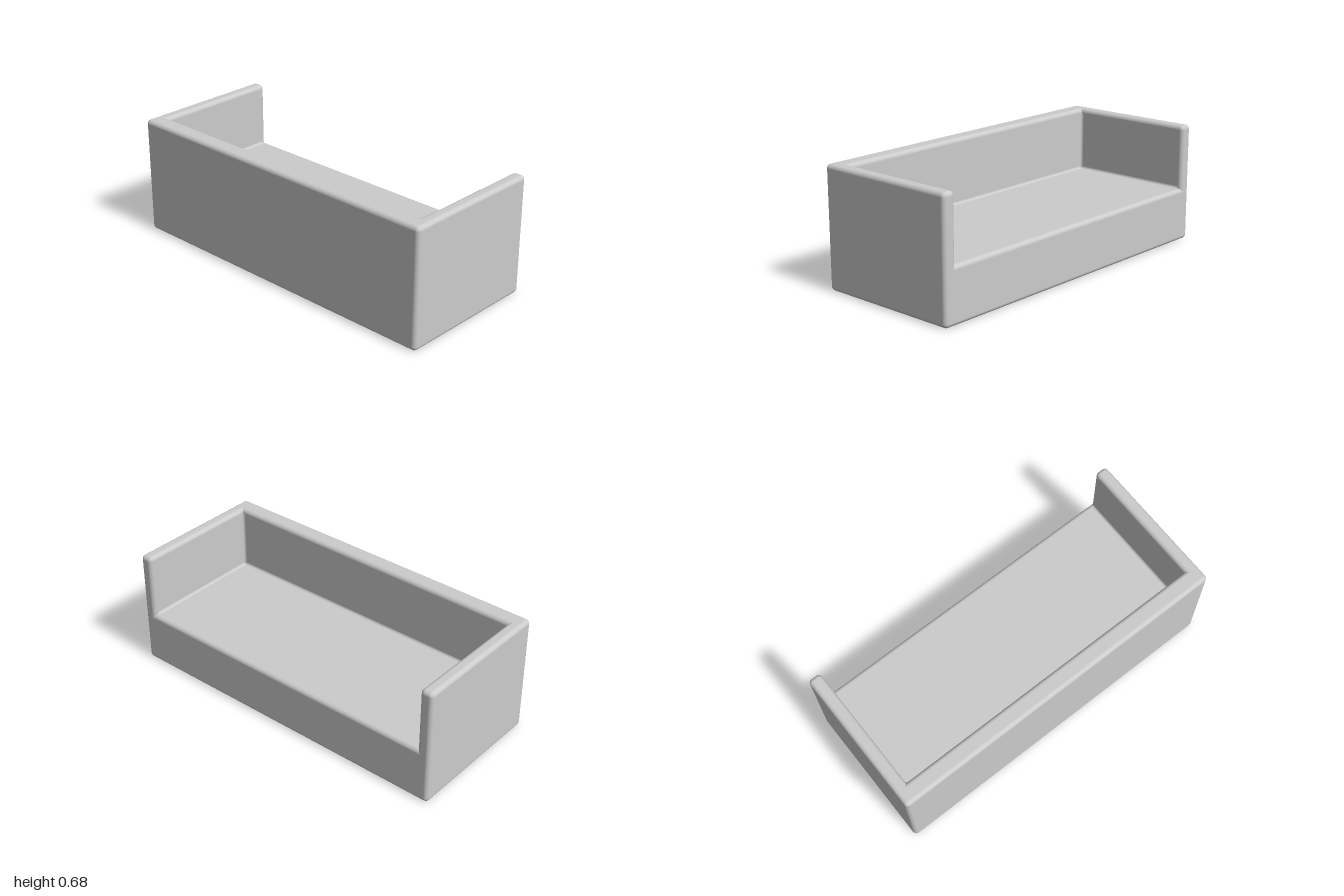
import * as THREE from 'three';
import { RoundedBoxGeometry } from 'three/addons/geometries/RoundedBoxGeometry.js';

const HALF_W = 0.425, HEIGHT = 0.68, HALF_L = 1;
const BACK_X = -0.32, ARM_Z = 0.925, SEAT_Y = 0.31; // inner faces
const EDGE = 0.024, FILLET = 0.015;

export function createModel() {
  const group = new THREE.Group();
  const material = new THREE.MeshStandardMaterial({ color: 0xcccccc });
  const filletMaterial = new THREE.MeshStandardMaterial({ color: 0xcccccc, side: THREE.DoubleSide });

  // Rounded block given by its two opposite corners
  function block(name, min, max) {
    const size = max.map((v, i) => v - min[i]);
    const mesh = new THREE.Mesh(new RoundedBoxGeometry(...size, 5, EDGE), material);
    mesh.position.set(...max.map((v, i) => (v + min[i]) / 2));
    mesh.name = name;
    group.add(mesh);
  }

  // Concave quarter-round strip that softens an inner corner
  function fillet(name, length, start, rotation, position) {
    const geometry = new THREE.CylinderGeometry(FILLET, FILLET, length, 6, 1, true, start, Math.PI / 2);
    const mesh = new THREE.Mesh(geometry, filletMaterial);
    mesh.rotation.set(...rotation);
    mesh.position.set(...position);
    mesh.name = name;
    group.add(mesh);
  }

  // Solid seat base and backrest
  block('seatBase', [-HALF_W, 0, -HALF_L], [HALF_W, SEAT_Y, HALF_L]);
  block('backrest', [-HALF_W, 0, -HALF_L], [BACK_X, HEIGHT, HALF_L]);
  fillet('seatBackFillet', 2 * ARM_Z, Math.PI * 1.5, [Math.PI / 2, 0, 0],
    [BACK_X + FILLET, SEAT_Y + FILLET, 0]);

  // Mirrored armrests with their fillets
  const frontX = HALF_W - EDGE, topY = HEIGHT - EDGE;
  for (const s of [1, -1]) {
    const side = s > 0 ? 'front' : 'rear';
    const start = s > 0 ? Math.PI * 1.5 : Math.PI;
    const z = s * (ARM_Z - FILLET);
    block(side + 'Armrest',
      [-HALF_W, 0, s > 0 ? ARM_Z : -HALF_L], [HALF_W, HEIGHT, s > 0 ? HALF_L : -ARM_Z]);
    fillet(side + 'SeatArmFillet', frontX - BACK_X, start, [0, 0, Math.PI / 2],
      [(frontX + BACK_X) / 2, SEAT_Y + FILLET, z]);
    fillet(side + 'BackArmFillet', topY - SEAT_Y, start, [0, 0, 0],
      [BACK_X + FILLET, (topY + SEAT_Y) / 2, z]);
  }
  return group;
}
